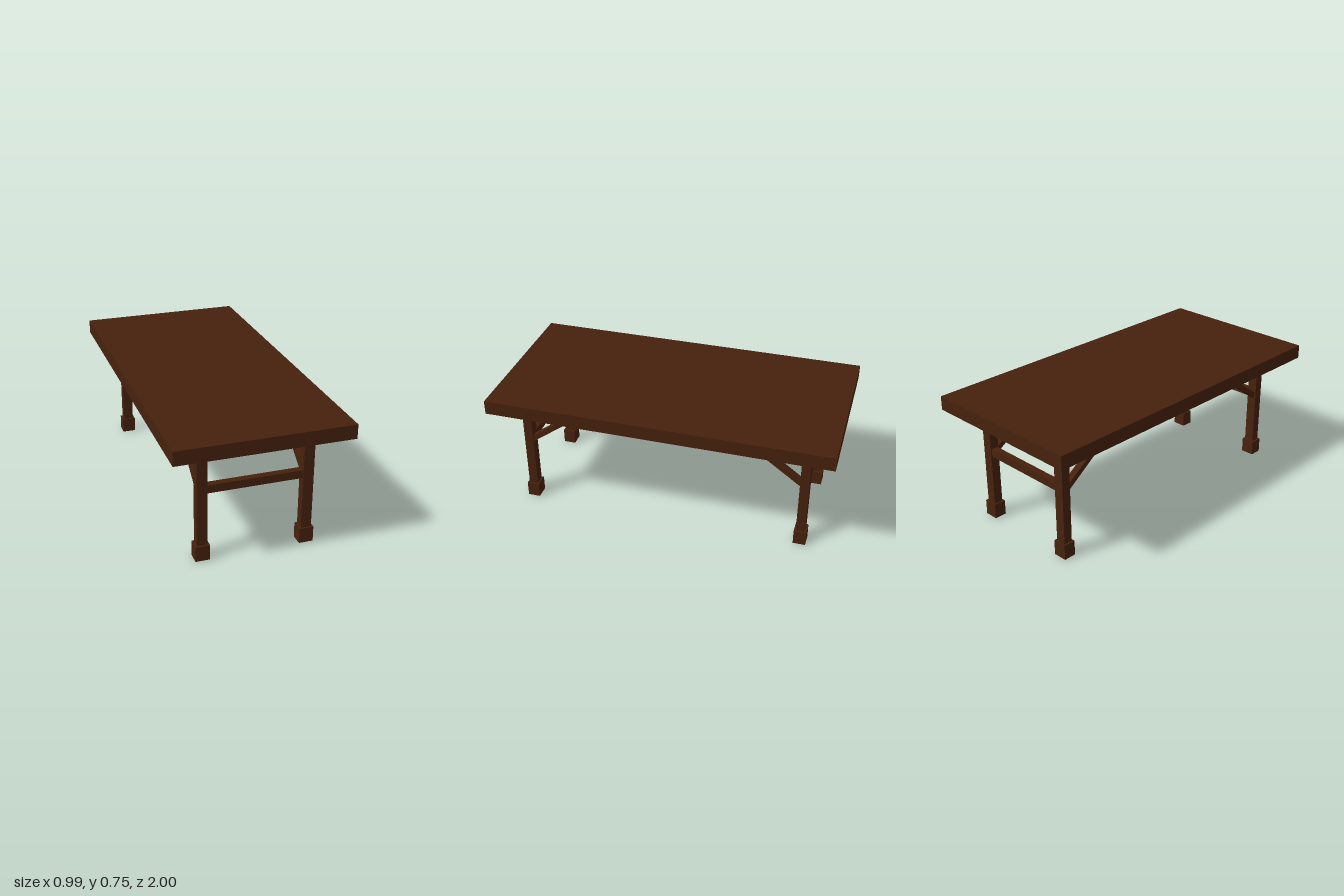
import * as THREE from 'three';

export function createModel() {
  const table = new THREE.Group();
  table.name = 'table';
  const wood = new THREE.MeshStandardMaterial({ color: 0x47210d });
  wood.name = 'dark wood';

  const box = (parent, name, size, position) => {
    const mesh = new THREE.Mesh(new THREE.BoxGeometry(...size), wood);
    mesh.name = name;
    mesh.position.set(...position);
    parent.add(mesh);
    return mesh;
  };

  box(table, 'tabletop', [0.99, 0.082, 2], [0, 0.712, 0]);

  // Diagonal brace side profile in (z, y), with ends cut flush to leg and top
  const braceShape = new THREE.Shape([
    new THREE.Vector2(0.81, 0.395),
    new THREE.Vector2(0.81, 0.433),
    new THREE.Vector2(0.475, 0.675),
    new THREE.Vector2(0.423, 0.675),
  ]);
  const braceWidth = 0.04;
  const braceGeometry = new THREE.ExtrudeGeometry(braceShape, { depth: braceWidth, bevelEnabled: false });
  braceGeometry.translate(0, 0, -braceWidth / 2);
  braceGeometry.rotateY(-Math.PI / 2);

  // One trestle at each end, turned to face outward
  for (const [end, turn] of [['front', 0], ['back', Math.PI]]) {
    const trestle = new THREE.Group();
    trestle.name = `${end}Trestle`;
    trestle.rotation.y = turn;
    table.add(trestle);

    for (const x of [-0.299, 0.299]) {
      box(trestle, 'foot', [0.082, 0.09, 0.073], [x, 0.045, 0.829]);
      box(trestle, 'leg', [0.06, 0.55, 0.053], [x, 0.36, 0.829]);
      box(trestle, 'legCap', [0.097, 0.046, 0.085], [x, 0.65, 0.829]);
      const brace = new THREE.Mesh(braceGeometry, wood);
      brace.name = 'diagonalBrace';
      brace.position.x = x;
      trestle.add(brace);
    }
    box(trestle, 'stretcher', [0.56, 0.047, 0.04], [0, 0.423, 0.829]);
  }
  return table;
}
